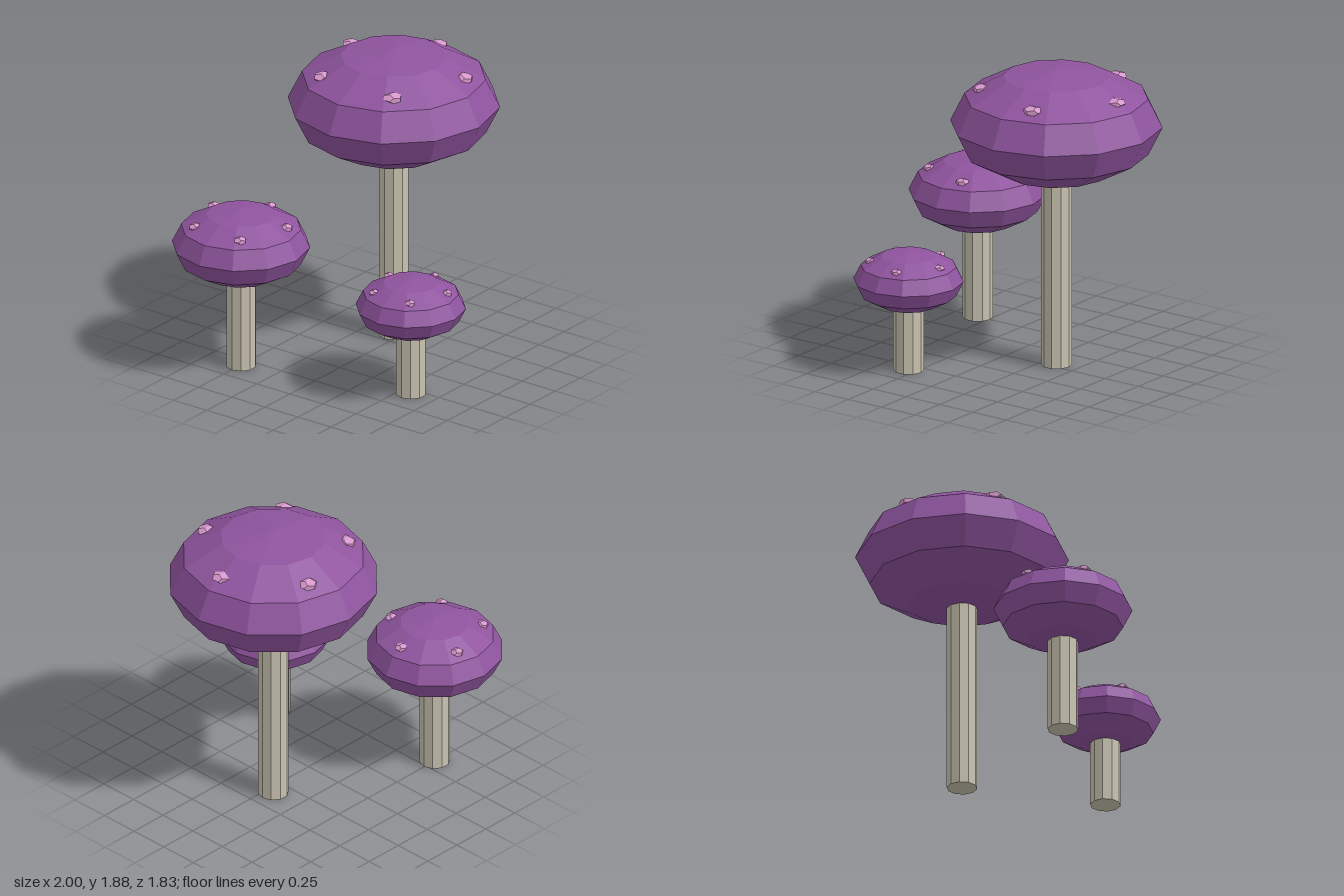
import * as THREE from 'three';

const flat = (name, color) => {
  const m = new THREE.MeshStandardMaterial({ color, flatShading: true });
  m.name = name;
  return m;
};

const STEM_RADIUS = 0.093;
const SPOTS = 5;

// x, z: position; y: cap centre height; r, h: cap radius and half height
const MUSHROOMS = [
  { name: 'tallMushroom', x: 0.35, z: -0.045, y: 1.527, r: 0.645, h: 0.35, spotY: 0.63 },
  { name: 'mediumMushroom', x: -0.58, z: -0.497, y: 0.797, r: 0.42, h: 0.228, spotY: 0.65 },
  { name: 'smallMushroom', x: -0.3, z: 0.575, y: 0.572, r: 0.335, h: 0.181, spotY: 0.65 },
];

export function createModel() {
  const capMaterial = flat('capPurple', 0x8f549e);
  const spotMaterial = flat('spotPink', 0xd898cc);
  const stemMaterial = flat('stemBeige', 0xc8c2b0);

  const capGeometry = new THREE.SphereGeometry(1, 12, 6);
  const spotGeometry = new THREE.DodecahedronGeometry(1);

  const model = new THREE.Group();
  model.name = 'mushrooms';

  for (const { name, x, y, z, r, h, spotY } of MUSHROOMS) {
    const mushroom = new THREE.Group();
    mushroom.name = name;
    mushroom.position.set(x, 0, z);

    // Ten-sided stem, ending inside the cap
    const stemHeight = y - h * 0.7;
    const stem = new THREE.Mesh(
      new THREE.CylinderGeometry(STEM_RADIUS, STEM_RADIUS, stemHeight, 10, 1, false, Math.PI / 2),
      stemMaterial
    );
    stem.name = 'stem';
    stem.position.y = stemHeight / 2;
    mushroom.add(stem);

    // Flattened faceted cap
    const cap = new THREE.Mesh(capGeometry, capMaterial);
    cap.name = 'cap';
    cap.position.y = y;
    cap.scale.set(r, h, r);
    mushroom.add(cap);

    // Ring of pebble-like spots, half sunk into the cap
    const spotSize = 0.03 * Math.sqrt(r / 0.645);
    for (let i = 0; i < SPOTS; i++) {
      const angle = (i / SPOTS) * Math.PI * 2;
      const spot = new THREE.Mesh(spotGeometry, spotMaterial);
      spot.name = 'spot';
      spot.position.set(Math.cos(angle) * r * 0.69, y + h * spotY, Math.sin(angle) * r * 0.69);
      spot.scale.set(r * 0.098, spotSize, r * 0.098);
      mushroom.add(spot);
    }
    model.add(mushroom);
  }
  return model;
}
